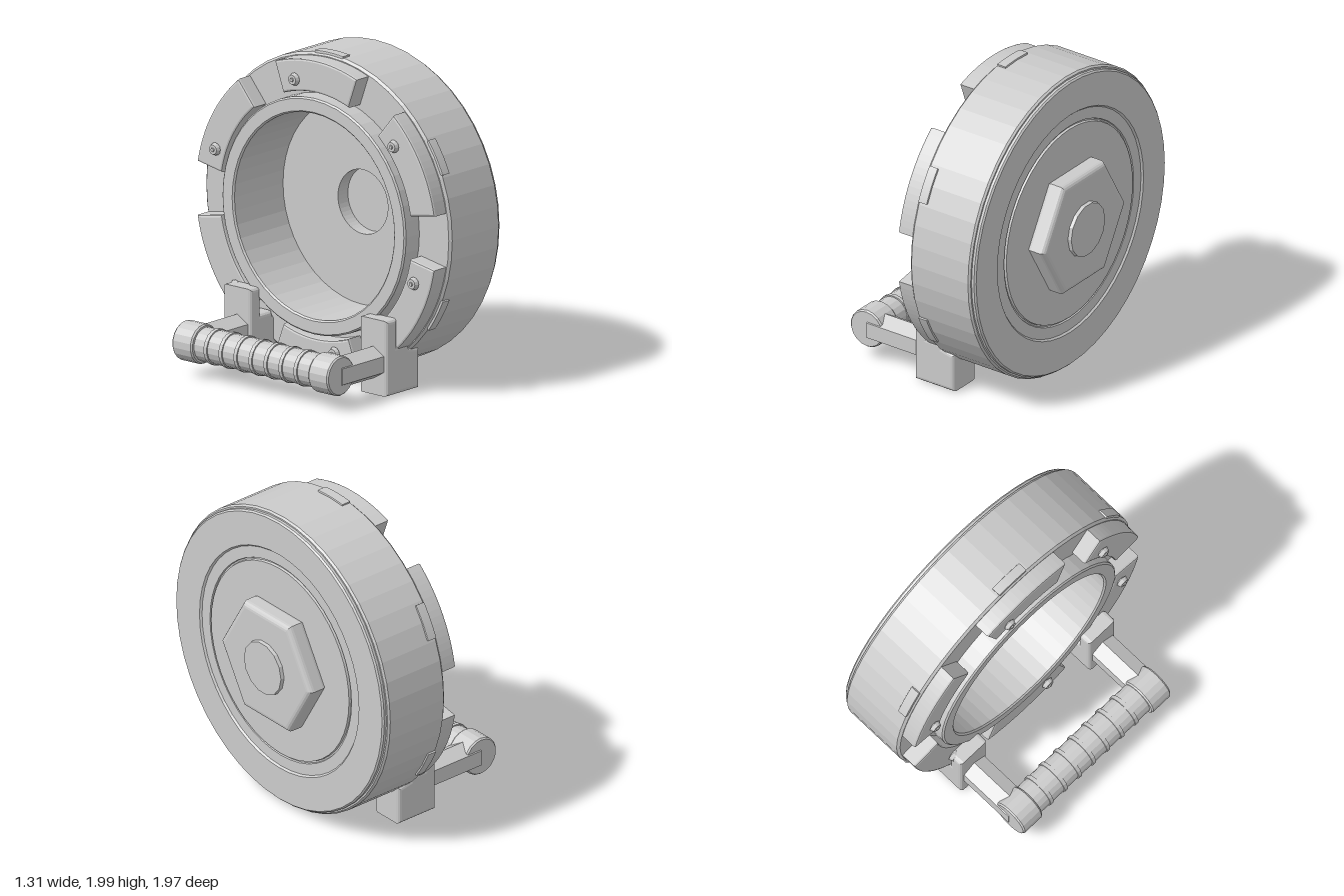
import * as THREE from 'three';

const CY = 1; // height of the drum axis
const rad = THREE.MathUtils.degToRad;
const material = new THREE.MeshStandardMaterial({ color: 0xcccccc, flatShading: true });

function part(name, geometry, parent) {
  const mesh = new THREE.Mesh(geometry, material);
  mesh.name = name;
  parent.add(mesh);
  return mesh;
}

// Bevelled extrusion that keeps the outline size and spans z = 0..depth
function slab(shape, depth, bevel, bevelSegments = 2, curveSegments = 8) {
  return new THREE.ExtrudeGeometry(shape, {
    depth: depth - 2 * bevel, bevelThickness: bevel, bevelSize: bevel,
    bevelOffset: -bevel, bevelSegments, curveSegments,
  }).translate(0, 0, bevel);
}

// Slab facing along the drum axis, from x0 to x1 (outline x becomes world z)
function axialSlab(shape, x0, x1, bevel, segments) {
  return slab(shape, x1 - x0, bevel, segments).rotateY(-Math.PI / 2).translate(x1, CY, 0);
}

// Ring sector around the axis, angles in degrees measured from +z towards +y
function sector(inner, outer, centre, half) {
  const s = new THREE.Shape();
  s.absarc(0, 0, outer, rad(centre - half), rad(centre + half), false);
  s.absarc(0, 0, inner, rad(centre + half), rad(centre - half), true);
  s.closePath();
  return s;
}

// Cylinder along the x axis
function axial(r0, r1, length, sides) {
  return new THREE.CylinderGeometry(r1, r0, length, sides).rotateZ(-Math.PI / 2);
}

export function createModel() {
  const model = new THREE.Group();
  model.name = 'drumWithHandle';

  // Hollow drum: recess, raised lip, outer wall, stepped back plate [radius, x]
  const profile = [
    [0, 0.46], [0.2, 0.46], [0.2, 0.37], [0.64, 0.37], [0.64, -0.07], [0.65, -0.08],
    [0.725, -0.08], [0.735, -0.07], [0.735, 0.05], [0.97, 0.05], [0.985, 0.065],
    [0.985, 0.485], [0.975, 0.498], [0.965, 0.498], [0.965, 0.515], [0.955, 0.525],
    [0.74, 0.525], [0.73, 0.513], [0.657, 0.513], [0.653, 0.503], [0.644, 0.503],
    [0.64, 0.518], [0, 0.518],
  ].map(([r, x]) => new THREE.Vector2(r, x));
  part('drumBody', new THREE.LatheGeometry(profile, 48).rotateZ(-Math.PI / 2), model).position.y = CY;

  // Six lugs around the lip, each with an off-centre screw and a pad on the rim
  for (let i = 0; i < 6; i++) {
    const angle = 30 + 60 * i;
    part('lug', axialSlab(sector(0.765, 0.965, angle, 20), -0.06, 0.06, 0.014), model);
    part('rimPad', axialSlab(sector(0.95, 0.995, angle, 6.6), 0.06, 0.125, 0.006), model);
    const a = rad(angle + 11);
    const screw = new THREE.Group();
    screw.name = 'screw';
    screw.position.set(0, CY + 0.84 * Math.sin(a), 0.84 * Math.cos(a));
    part('screwHead', axial(0.03, 0.04, 0.025, 12), screw).position.x = -0.08;
    part('screwNeck', axial(0.025, 0.025, 0.02, 12), screw).position.x = -0.063;
    part('screwCentre', axial(0.012, 0.015, 0.012, 6), screw).position.x = -0.094;
    model.add(screw);
  }

  // Hexagonal nut and round cap on the closed side
  const hex = new THREE.Shape(
    Array.from({ length: 6 }, (_, i) => new THREE.Vector2(
      0.42 * Math.cos(i * Math.PI / 3), 0.42 * Math.sin(i * Math.PI / 3))));
  part('hexNut', axialSlab(hex, 0.5, 0.635, 0.035, 4), model);
  part('nutCap', axial(0.178, 0.172, 0.03, 14), model).position.set(0.642, CY, 0);

  // Feet with handle arms on both sides
  const foot = new THREE.Shape([
    [-0.155, 0.01], [0.14, 0.01], [0.14, 0.26], [0.05, 0.28], [0.04, 0.31],
    [-0.06, 0.31], [-0.06, 0.48], [-0.155, 0.48],
  ].map(([x, y]) => new THREE.Vector2(x, y)));
  for (const side of [-1, 1]) {
    const z = side * 0.545;
    part('foot', slab(foot, 0.225, 0.025, 3).translate(0, 0, z - 0.1125), model);
    const arm = axial(0.1, 0.1, 0.4, 6);
    // Turn the hexagonal section so that an edge points up
    arm.rotateX(Math.PI / 2);
    part('handleArm', arm, model).position.set(-0.33, 0.21, z);
    const knuckle = new THREE.LatheGeometry([
      [0, -0.08], [0.115, -0.08], [0.123, -0.07], [0.123, 0.07], [0.115, 0.08], [0, 0.08],
    ].map(([r, y]) => new THREE.Vector2(r, y)), 18).rotateX(Math.PI / 2);
    part('handleKnuckle', knuckle, model).position.set(-0.535, 0.215, z);
  }

  // Ribbed grip
  const grip = new THREE.Group();
  grip.name = 'grip';
  grip.position.set(-0.53, 0.215, 0);
  part('gripBar', new THREE.CylinderGeometry(0.105, 0.105, 0.96, 18).rotateX(Math.PI / 2), grip);
  for (let i = -3; i <= 3; i++) {
    part('gripRib', new THREE.CylinderGeometry(0.113, 0.113, 0.025, 18).rotateX(Math.PI / 2), grip)
      .position.z = i * 0.12 - 0.01;
  }
  model.add(grip);

  return model;
}
